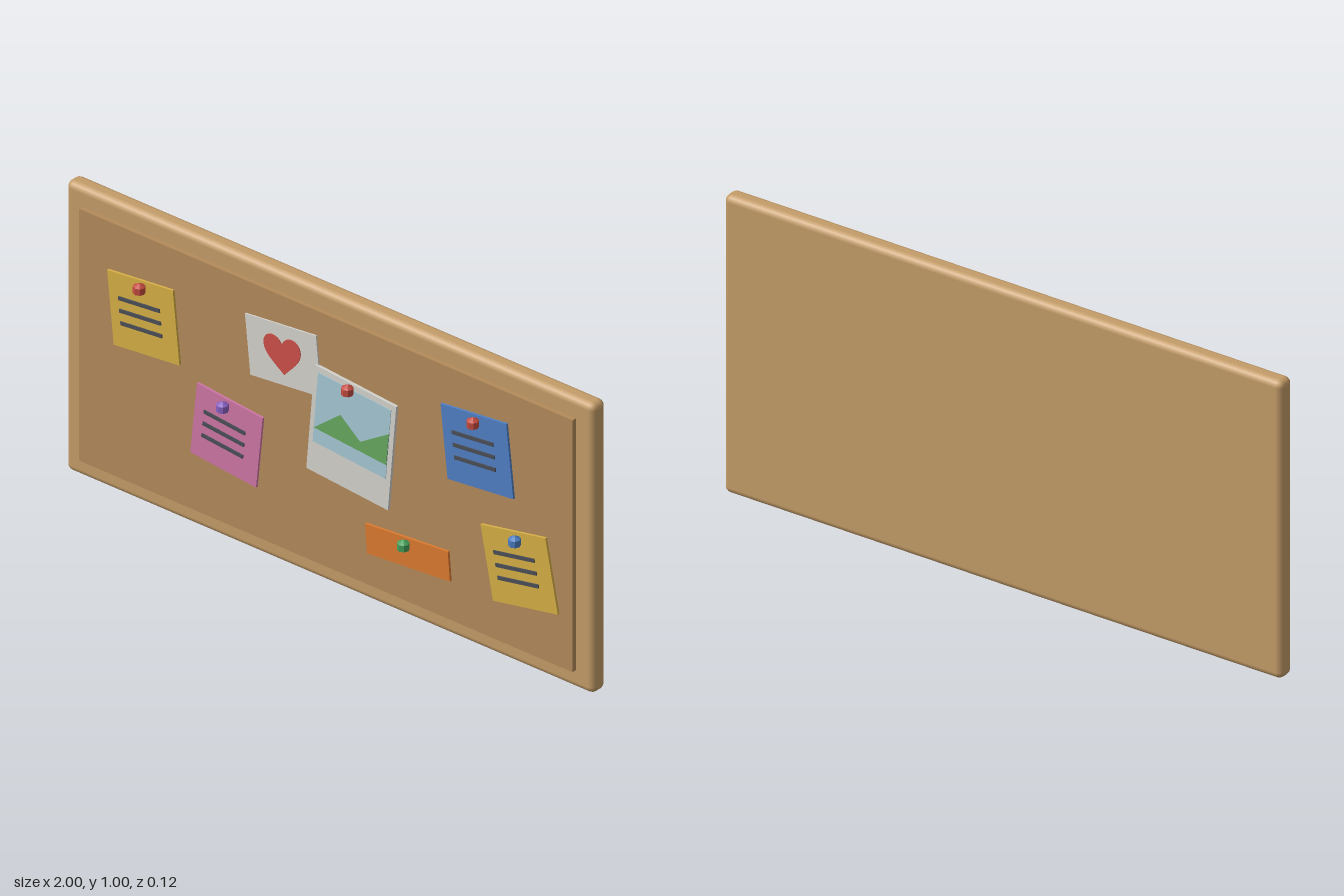
import * as THREE from 'three';
import { RoundedBoxGeometry } from 'three/addons/geometries/RoundedBoxGeometry.js';

const CORK_FRONT = 0.016;

function mesh(name, geometry, color, x = 0, y = 0, z = 0, flatShading = false) {
  const m = new THREE.Mesh(geometry, new THREE.MeshStandardMaterial({ color, flatShading }));
  m.name = name;
  m.position.set(x, y, z);
  return m;
}

// A sheet of paper lying on the cork; decorations go in its own tilted group
function paper(name, w, h, color, x, y, tilt, front = 0.024) {
  const g = new THREE.Group();
  g.name = name;
  g.position.set(x, y, 0);
  g.rotation.z = tilt;
  const depth = front - CORK_FRONT;
  g.add(mesh('sheet', new THREE.BoxGeometry(w, h, depth), color, 0, 0, CORK_FRONT + depth / 2));
  return g;
}

// Three rows of writing on a note
function addLines(note) {
  for (const y of [0.042, 0, -0.042]) {
    note.add(mesh('writtenLine', new THREE.BoxGeometry(0.157, 0.012, 0.004), 0x4a4e57, -0.01, y, 0.026));
  }
}

const extrude = (shape, depth) => new THREE.ExtrudeGeometry(shape, { depth, bevelEnabled: false, curveSegments: 8 });

function heartShape() {
  const s = new THREE.Shape();
  s.moveTo(0, -0.065);
  s.bezierCurveTo(-0.03, -0.035, -0.07, -0.01, -0.07, 0.025);
  s.bezierCurveTo(-0.07, 0.07, -0.015, 0.075, 0, 0.035);
  s.bezierCurveTo(0.015, 0.075, 0.07, 0.07, 0.07, 0.025);
  s.bezierCurveTo(0.07, -0.01, 0.03, -0.035, 0, -0.065);
  return s;
}

export function createModel() {
  const board = new THREE.Group();
  board.name = 'pinBoard';

  // Wooden backing with rounded edges and the cork panel
  board.add(mesh('frame', new RoundedBoxGeometry(2, 1, 0.062, 2, 0.022), 0xc49c68, 0, 0.5, -0.031));
  board.add(mesh('corkPanel', new THREE.BoxGeometry(1.868, 0.87, 0.026), 0xb3895a, 0, 0.5, CORK_FRONT - 0.013));

  // Square notes with writing: name, colour, x, y, tilt
  const notes = [
    ['yellowNote', 0xd6ae45, -0.685, 0.66, 0.1],
    ['pinkNote', 0xcf76a5, -0.37, 0.377, -0.1],
    ['blueNote', 0x4f7fc4, 0.578, 0.692, 0.106],
    ['lowerYellowNote', 0xd6ae45, 0.738, 0.347, 0.19],
  ];
  for (const [name, color, x, y, tilt] of notes) {
    const note = paper(name, 0.25, 0.25, color, x, y, tilt);
    addLines(note);
    board.add(note);
  }
  board.add(paper('orangeNote', 0.315, 0.1, 0xdb7a30, 0.315, 0.24, 0.08));

  // Heart drawing, partly under the photo
  const drawing = paper('heartDrawing', 0.27, 0.205, 0xd4d2cc, -0.158, 0.735, 0.1, 0.021);
  drawing.add(mesh('heart', extrude(heartShape(), 0.004), 0xcc4f49, 0, 0, 0.02));
  board.add(drawing);

  // Photo with sky and mountains
  const photo = paper('photo', 0.31, 0.37, 0xd4d2cc, 0.104, 0.556, -0.085, 0.026);
  photo.add(mesh('sky', new THREE.BoxGeometry(0.277, 0.245, 0.003), 0xa6c8d4, 0, 0.043, 0.0265));
  const ridge = [[-0.137, -0.029], [0.138, -0.029], [0.138, 0.081], [0.035, 0.003], [-0.045, 0.06]];
  const mountains = new THREE.Shape(ridge.map(([x, y]) => new THREE.Vector2(x, y)));
  photo.add(mesh('mountains', extrude(mountains, 0.003), 0x68a860, 0, 0, 0.027));
  board.add(photo);

  // Push pins: colour, x, y
  const pins = [
    [0xc44a40, -0.685, 0.767],
    [0x8860c0, -0.37, 0.482],
    [0xc44a40, 0.103, 0.725],
    [0xc44a40, 0.578, 0.798],
    [0x4a7cc0, 0.736, 0.451],
    [0x45a05a, 0.315, 0.272],
  ];
  const pinGeometry = new THREE.SphereGeometry(0.022, 8, 3);
  for (const [color, x, y] of pins) board.add(mesh('pushPin', pinGeometry, color, x, y, 0.043, true));

  return board;
}
